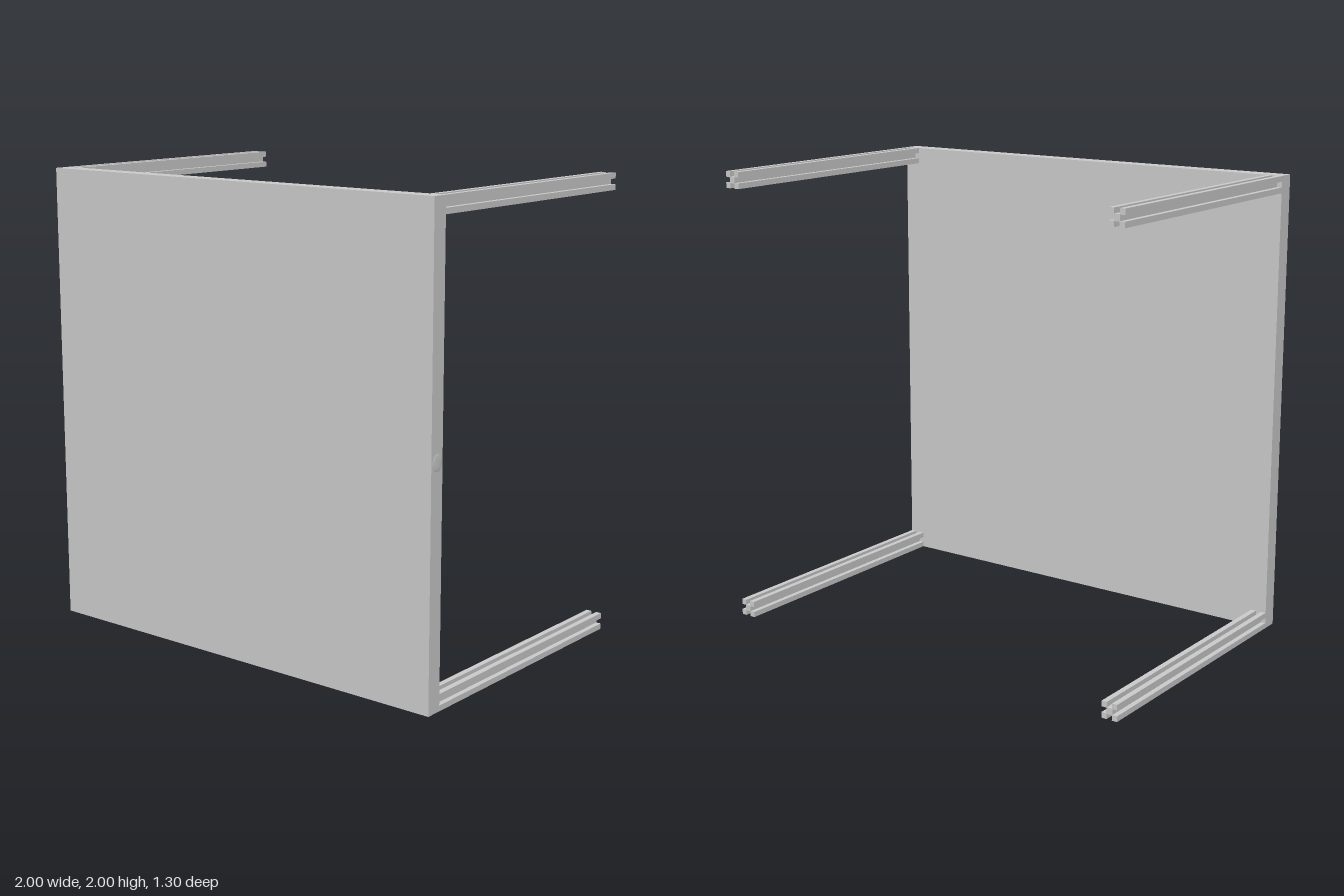
import * as THREE from 'three';

const DEPTH = 1.296;   // full depth front to back
const T = 0.072;       // panel thickness and post width

// Square section with a slot in the middle of each side
function slottedSection() {
  const h = T / 2, s = T / 6, d = 0.014;
  const corner = [[s, d], [s, h], [h, h], [h, s], [d, s]];
  const pts = [];
  for (let i = 0; i < 4; i++) {
    const c = Math.round(Math.cos(-i * Math.PI / 2)), n = Math.round(Math.sin(-i * Math.PI / 2));
    for (const [x, y] of corner) pts.push(new THREE.Vector2(x * c - y * n, x * n + y * c));
  }
  return new THREE.Shape(pts.reverse());
}

export function createModel() {
  const group = new THREE.Group();
  const material = new THREE.MeshStandardMaterial({ color: 0xcccccc });
  const add = (name, geometry, x, y, z) => {
    const mesh = new THREE.Mesh(geometry, material);
    mesh.name = name;
    mesh.position.set(x, y, z);
    group.add(mesh);
    return mesh;
  };

  // Square front panel
  add('panel', new THREE.BoxGeometry(2, 2, T), 0, 1, DEPTH / 2 - T / 2);

  // Four slotted posts running back from the corners
  const post = new THREE.ExtrudeGeometry(slottedSection(), { depth: DEPTH - T, bevelEnabled: false });
  for (const [side, x] of [['left', 1 - T / 2], ['right', -1 + T / 2]]) {
    for (const [level, y] of [['Upper', 2 - T / 2], ['Lower', T / 2]]) {
      add(`${side}${level}Post`, post, x, y, -DEPTH / 2);
    }
  }

  // Very shallow bump on the panel's left edge
  add('edgeBump', new THREE.SphereGeometry(1, 20, 12), 1, 1, 0.61).scale.set(0.002, 0.035, 0.03);

  return group;
}
